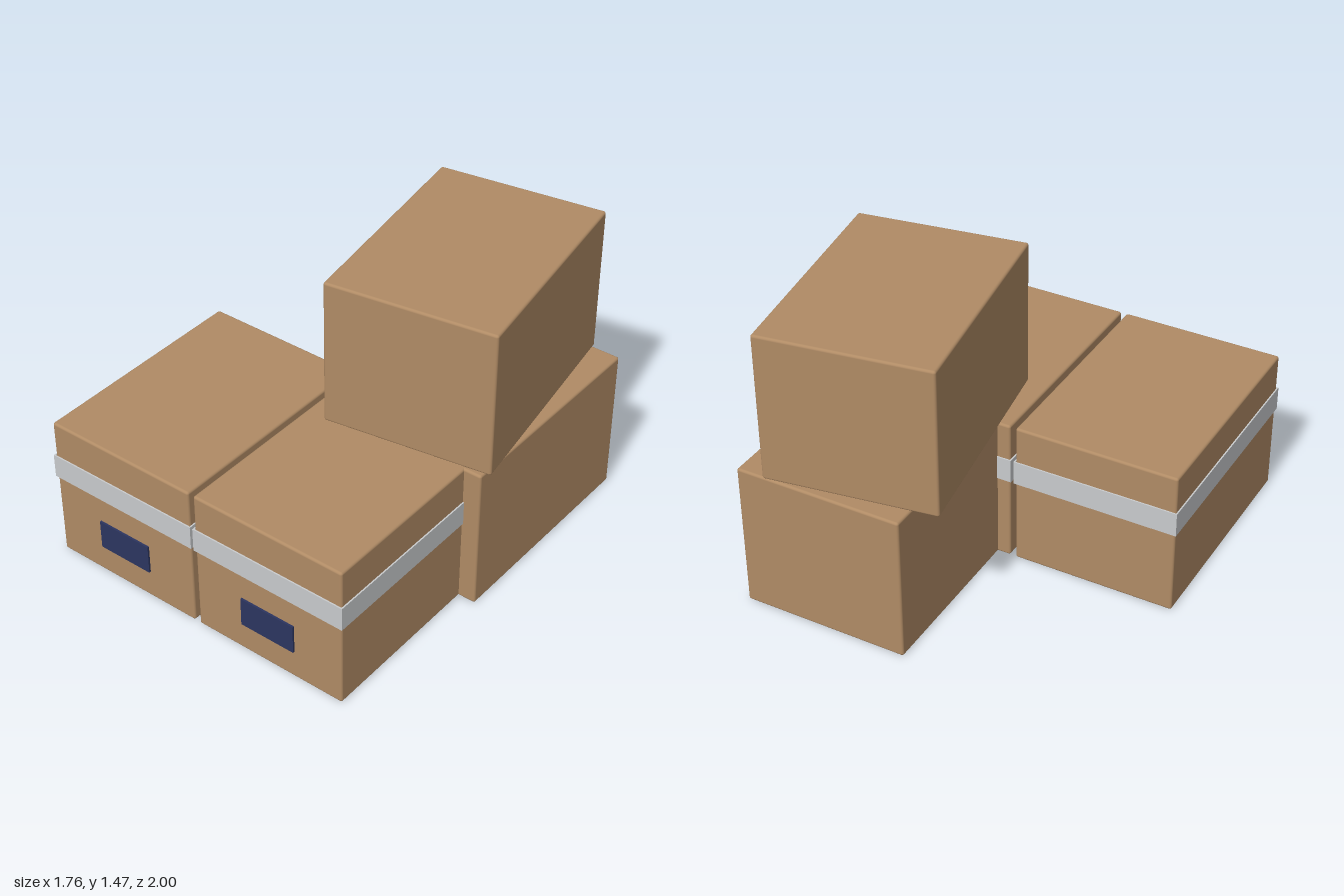
import * as THREE from 'three';
import { RoundedBoxGeometry } from 'three/addons/geometries/RoundedBoxGeometry.js';

const material = (name, color) => {
  const m = new THREE.MeshStandardMaterial({ color });
  m.name = name;
  return m;
};

export function createModel() {
  const cardboard = material('cardboard', 0xb08b65);
  const tape = material('tapeGrey', 0xc9cbcd);
  const navy = material('labelNavy', 0x2c3560);
  const model = new THREE.Group();
  model.name = 'cardboardBoxes';

  const add = (parent, name, geometry, mat, x, y, z) => {
    const mesh = new THREE.Mesh(geometry, mat);
    mesh.name = name;
    mesh.position.set(x, y, z);
    parent.add(mesh);
    return mesh;
  };
  const carton = (parent, name, w, h, d, x, y, z) =>
    add(parent, name, new RoundedBoxGeometry(w, h, d, 3, 0.012), cardboard, x, y, z);

  // Band of tape: four thin plates wrapped round a carton
  const addBand = (parent, w, d, y, z) => {
    const t = 0.007, h = 0.12;
    for (const s of [-1, 1]) {
      add(parent, s > 0 ? 'tapeFront' : 'tapeBack',
        new THREE.BoxGeometry(w + 2 * t, h, t), tape, 0, y, z + s * (d + t) / 2);
      add(parent, s > 0 ? 'tapeLeft' : 'tapeRight',
        new THREE.BoxGeometry(t, h, d), tape, s * (w + t) / 2, y, z);
    }
  };

  // Two taped and labelled cartons side by side at the front
  [['frontBoxRight', -0.473], ['frontBoxLeft', 0.358]].forEach(([name, x]) => {
    const group = new THREE.Group();
    group.name = name;
    group.position.x = x;
    const w = 0.803, d = 1.13, z = 0.425;
    carton(group, 'carton', w, 0.733, d, 0, 0.3665, z);
    addBand(group, w, d, 0.49, z);
    add(group, 'label', new THREE.BoxGeometry(0.29, 0.148, 0.0098), navy, 0, 0.223, 0.995);
    model.add(group);
  });

  // Plain carton behind, and another turned on top of it
  carton(model, 'backBox', 0.825, 0.733, 1.125, 0.434, 0.3665, -0.431);
  const top = carton(model, 'topBox', 0.825, 0.733, 1.12, 0.384, 1.101, -0.385);
  top.rotation.y = THREE.MathUtils.degToRad(9);

  return model;
}
